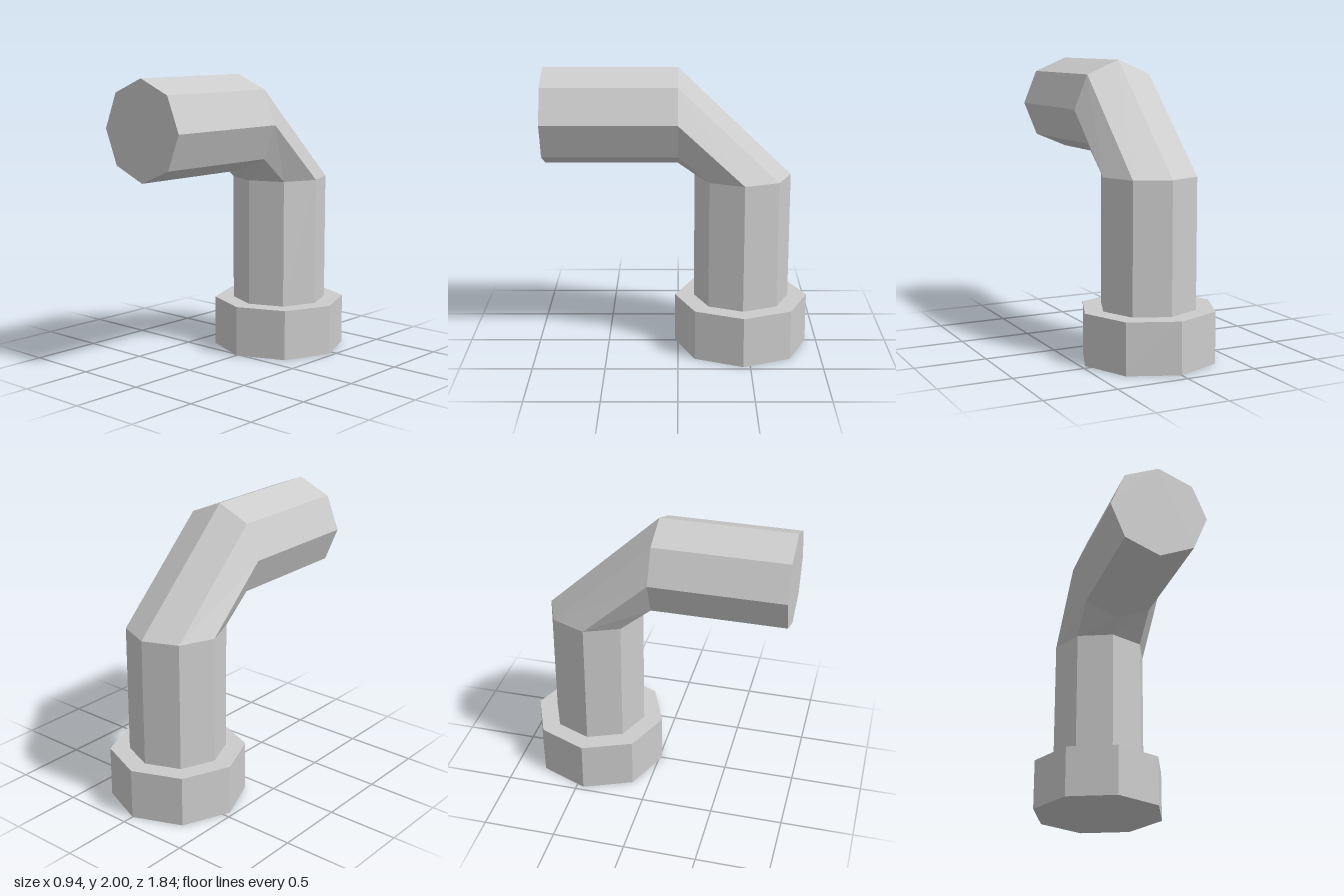
import * as THREE from 'three';

const SIDES = 8;
const PIPE_R = 0.335;
const FLANGE_R = 0.47;
const FLANGE_H = 0.355;
const AXIS_Z = -0.45;

// Octagonal pipe lofted through rings; "out" is the direction of the bend's outer side
function pipeGeometry() {
  const rings = [
    { y: FLANGE_H - 0.01, z: AXIS_Z, out: [0, -1] },
    { y: 1.25, z: AXIS_Z, out: [0, -1] },
    { y: 1.666, z: 0, out: [1, 0] },
    { y: 1.666, z: 0.92, out: [1, 0] },
  ];
  const pos = [];
  const index = [];
  for (const { y, z, out } of rings) {
    for (let j = 0; j < SIDES; j++) {
      const a = (j / SIDES) * Math.PI * 2;
      const d = PIPE_R * Math.cos(a);
      pos.push(PIPE_R * Math.sin(a), y + d * out[0], z + d * out[1]);
    }
  }
  for (let i = 0; i < rings.length - 1; i++) {
    for (let j = 0; j < SIDES; j++) {
      const k = (j + 1) % SIDES;
      const a = i * SIDES + j, b = i * SIDES + k;
      index.push(a, a + SIDES, b, b, a + SIDES, b + SIDES);
    }
  }
  // flat cap on the front end
  const last = (rings.length - 1) * SIDES;
  for (let j = 1; j < SIDES - 1; j++) index.push(last, last + j + 1, last + j);

  const geo = new THREE.BufferGeometry();
  geo.setAttribute('position', new THREE.Float32BufferAttribute(pos, 3));
  geo.setIndex(index);
  const flat = geo.toNonIndexed();
  flat.computeVertexNormals();
  return flat;
}

export function createModel() {
  const model = new THREE.Group();
  model.name = 'bentPipe';
  const material = new THREE.MeshStandardMaterial({ color: 0xcccccc, flatShading: true });

  // base collar
  const flange = new THREE.Mesh(
    new THREE.CylinderGeometry(FLANGE_R, FLANGE_R, FLANGE_H, SIDES), material);
  flange.name = 'baseFlange';
  flange.position.set(0, FLANGE_H / 2, AXIS_Z);
  model.add(flange);

  // upright, elbow and horizontal outlet
  const pipe = new THREE.Mesh(pipeGeometry(), material);
  pipe.name = 'pipe';
  model.add(pipe);

  return model;
}
